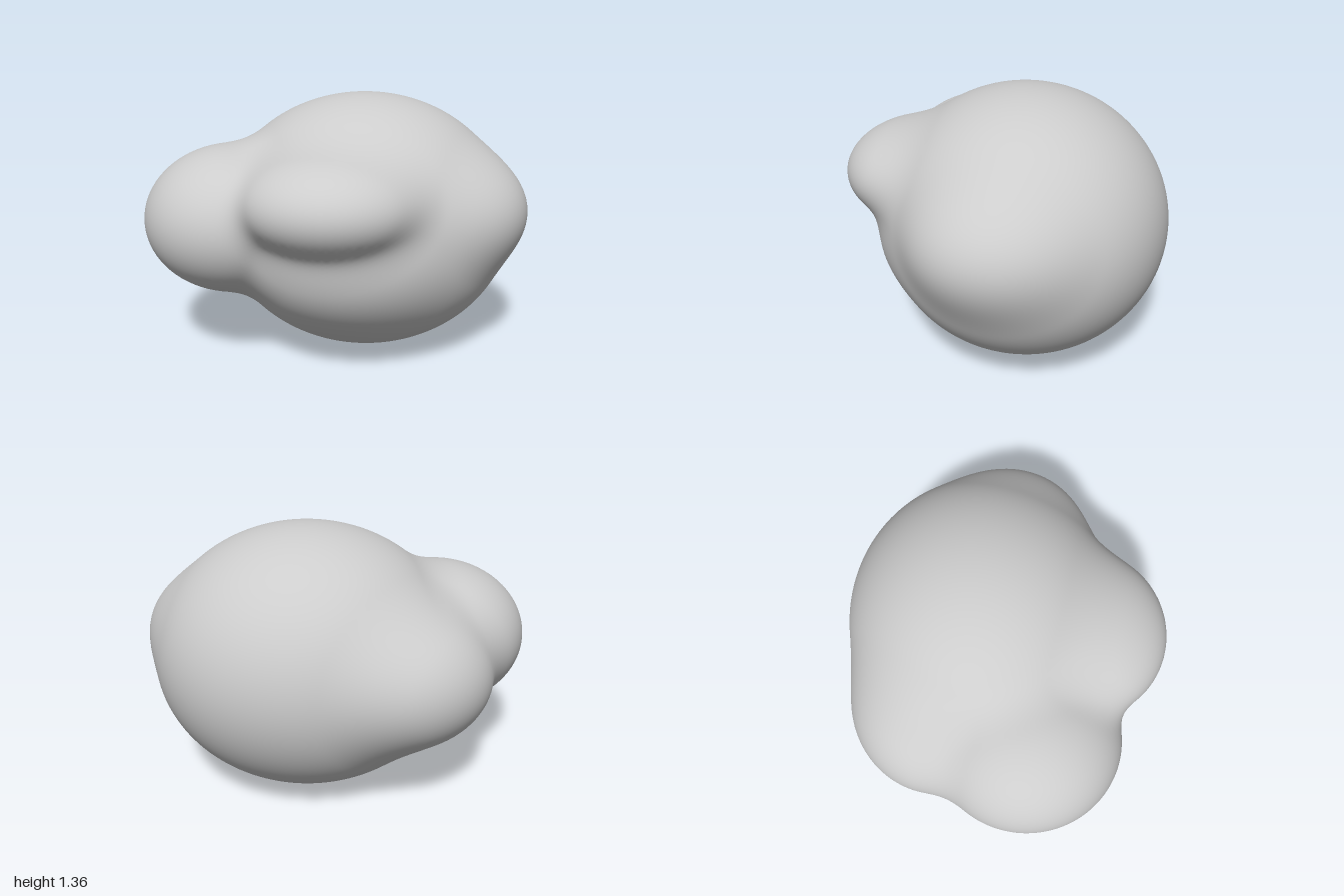
import * as THREE from 'three';
import { mergeVertices } from 'three/addons/utils/BufferGeometryUtils.js';

// Overlapping lobes: centre and radii of each ellipsoid
const lobes = [
  { c: [0.14, 0.685, -0.10], r: [0.79, 0.68, 0.73] },  // main body
  { c: [-0.53, 0.735, 0.11], r: [0.47, 0.385, 0.485] }, // side lobe
  { c: [-0.01, 0.89, 0.41], r: [0.45, 0.26, 0.42] },   // front lobe
  { c: [0.06, 0.59, 0.20], r: [0.50, 0.36, 0.45] },    // swelling under the front lobe
  { c: [-0.29, 0.68, -0.33], r: [0.51, 0.38, 0.47] },  // rear lobe
  { c: [0.61, 0.77, 0.03], r: [0.38, 0.31, 0.41] },    // broad side bump
];
const BLEND = 0.11;

// Approximate signed distance from a point to an ellipsoid
function lobeDistance(p, { c, r }) {
  let a = 0, b = 0;
  [p.x, p.y, p.z].forEach((v, i) => {
    const q = (v - c[i]) / r[i];
    a += q * q;
    b += (q / r[i]) ** 2;
  });
  const k = Math.sqrt(a);
  return k * (k - 1) / Math.max(Math.sqrt(b), 1e-6);
}

// Smooth union of all lobes
function field(p) {
  return lobes.map((l) => lobeDistance(p, l)).reduce((a, b) => {
    const h = Math.max(BLEND - Math.abs(a - b), 0) / BLEND;
    return Math.min(a, b) - h * h * BLEND / 4;
  });
}

// Outermost surface point along a ray from the middle of the body
function surfacePoint(centre, dir, out) {
  let far = 1.5;
  const at = (t) => field(out.copy(dir).multiplyScalar(t).add(centre));
  while (far > 0.05 && at(far - 0.03) > 0) far -= 0.03;
  let near = far - 0.03;
  for (let i = 0; i < 14; i++) {
    const mid = (near + far) / 2;
    if (at(mid) > 0) far = mid; else near = mid;
  }
  at(near);
  return out;
}

export function createModel() {
  const group = new THREE.Group();
  const stone = new THREE.MeshStandardMaterial({ color: 0xcccccc });
  stone.name = 'pale grey';

  // Shared vertices give smooth normals over the whole skin
  let geometry = new THREE.IcosahedronGeometry(1, 32);
  geometry.deleteAttribute('uv');
  geometry.deleteAttribute('normal');
  geometry = mergeVertices(geometry, 1e-4);

  const centre = new THREE.Vector3(-0.03, 0.72, 0.02);
  const pos = geometry.attributes.position;
  const dir = new THREE.Vector3(), p = new THREE.Vector3();
  for (let i = 0; i < pos.count; i++) {
    dir.fromBufferAttribute(pos, i).normalize();
    surfacePoint(centre, dir, p);
    pos.setXYZ(i, p.x, p.y, p.z);
  }
  geometry.computeVertexNormals();

  const body = new THREE.Mesh(geometry, stone);
  body.name = 'lumpyBody';
  group.add(body);
  return group;
}
